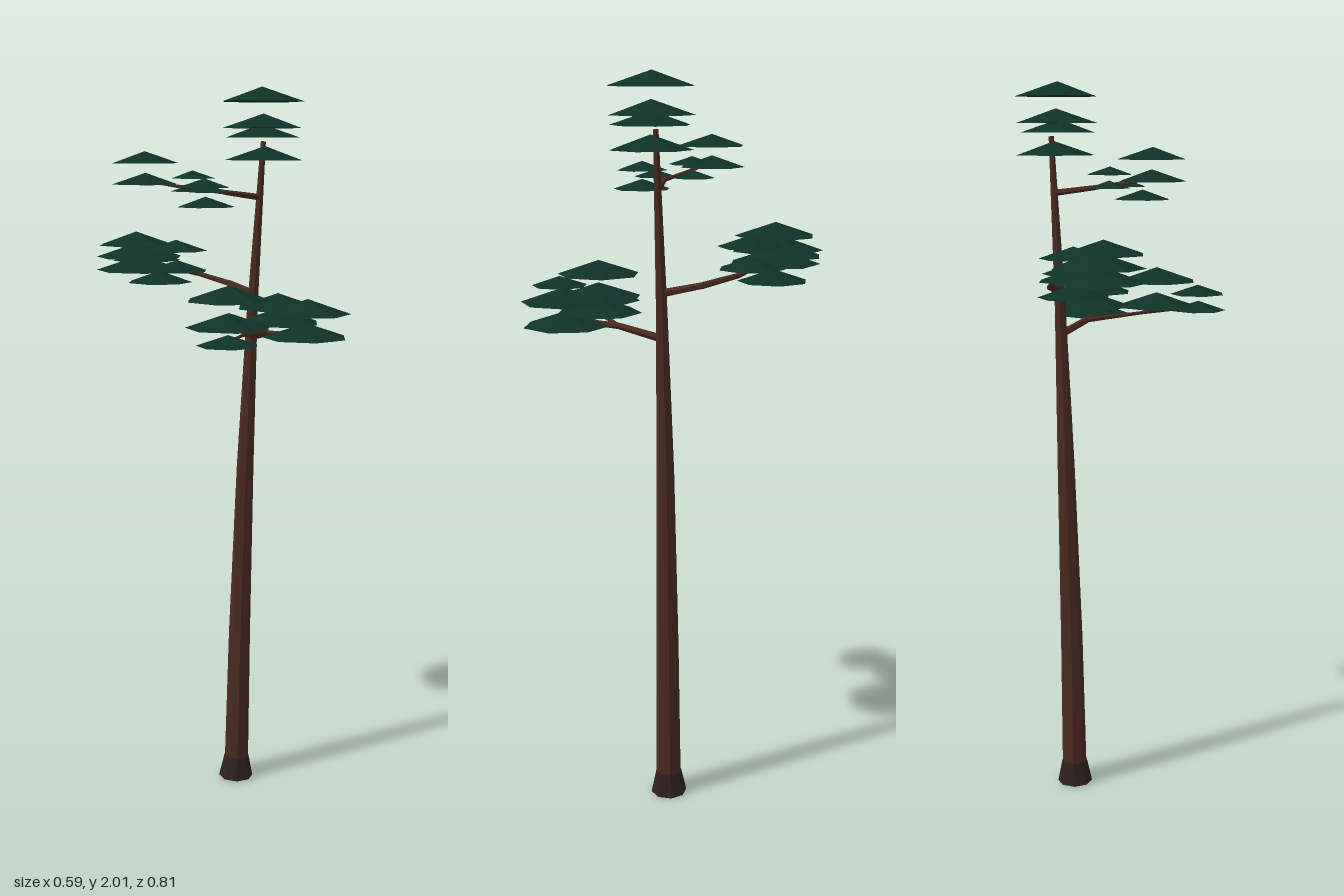
import * as THREE from 'three';

const mat = (name, color) => {
  const m = new THREE.MeshStandardMaterial({ color, flatShading: true });
  m.name = name;
  return m;
};

// Tapered limb through points [x, y, z, radius]
function limb(name, points, sides, material) {
  const group = new THREE.Group();
  group.name = name;
  const up = new THREE.Vector3(0, 1, 0);
  for (let i = 0; i < points.length - 1; i++) {
    const a = new THREE.Vector3(...points[i].slice(0, 3));
    const b = new THREE.Vector3(...points[i + 1].slice(0, 3));
    const dir = b.clone().sub(a);
    const geo = new THREE.CylinderGeometry(points[i + 1][3], points[i][3], dir.length(), sides);
    const mesh = new THREE.Mesh(geo, material);
    mesh.name = name + 'Segment';
    mesh.position.copy(a).add(b).multiplyScalar(0.5);
    mesh.quaternion.setFromUnitVectors(up, dir.normalize());
    group.add(mesh);
  }
  return group;
}

// Stack of shallow seven-sided cones, every second one turned half round
// Each layer: [x, base y, z, radius]
function foliage(name, layers, material) {
  const group = new THREE.Group();
  group.name = name;
  layers.forEach(([x, y, z, r], i) => {
    const h = r * 0.34;
    const geo = new THREE.ConeGeometry(r, h, 7);
    geo.rotateY(Math.PI / 2 + (i % 2) * Math.PI);
    const pad = new THREE.Mesh(geo, material);
    pad.name = 'needlePad';
    pad.position.set(x, y + h / 2, z);
    group.add(pad);
  });
  return group;
}

export function createModel() {
  const bark = mat('bark', 0x4a2a20);
  const rootBark = mat('rootBark', 0x2f2020);
  const needles = mat('needles', 0x0f3328);
  const tree = new THREE.Group();
  tree.name = 'pineTree';

  // Flared foot and leaning trunk
  tree.add(limb('rootFlare', [[0.134, 0, 0.02, 0.05], [0.135, 0.065, 0.021, 0.036]], 8, rootBark));
  tree.add(limb('trunk', [
    [0.135, 0.03, 0.021, 0.035], [0.141, 0.45, 0.025, 0.031], [0.153, 0.95, 0.032, 0.024],
    [0.166, 1.4, 0.043, 0.015], [0.187, 1.86, 0.06, 0.007],
  ], 8, bark));

  // Branches with their twigs
  const branches = {
    lowerBranch: [[0.166, 1.325, 0.041, 0.011], [0.1, 1.35, 0.15, 0.009], [0.07, 1.36, 0.25, 0.006]],
    lowerTwig: [[0.1, 1.35, 0.15, 0.007], [-0.06, 1.366, 0.2, 0.005], [-0.22, 1.372, 0.285, 0.003]],
    rearBranch: [[0.169, 1.445, 0.044, 0.011], [0.186, 1.466, -0.06, 0.009], [0.168, 1.488, -0.16, 0.007], [0.07, 1.52, -0.27, 0.004]],
    upperBranch: [[0.18, 1.71, 0.054, 0.009], [0.07, 1.725, 0.025, 0.007], [-0.02, 1.74, 0.04, 0.004]],
    upperTwig: [[0.07, 1.725, 0.025, 0.006], [-0.02, 1.74, -0.05, 0.005], [-0.085, 1.755, -0.12, 0.003]],
  };
  for (const [name, pts] of Object.entries(branches)) tree.add(limb(name, pts, 6, bark));

  // Needle clusters
  const clusters = {
    crown: [[0.17, 1.965, 0.068, 0.115], [0.175, 1.895, 0.07, 0.113], [0.166, 1.87, 0.07, 0.105], [0.18, 1.81, 0.072, 0.11]],
    upperRearCluster: [[-0.088, 1.803, -0.125, 0.092], [-0.085, 1.747, -0.125, 0.09]],
    upperTwigCluster: [[0.025, 1.762, -0.055, 0.062], [0.028, 1.727, -0.058, 0.058]],
    upperFrontCluster: [[-0.015, 1.728, 0.038, 0.056], [-0.065, 1.742, 0.068, 0.07], [-0.06, 1.692, 0.068, 0.078]],
    rearCluster: [[0.035, 1.572, -0.28, 0.11], [0.05, 1.537, -0.28, 0.125], [0.09, 1.525, -0.295, 0.1], [0.045, 1.5, -0.275, 0.125]],
    rearSideCluster: [[0.115, 1.555, -0.2, 0.09], [0.12, 1.497, -0.2, 0.09], [0.11, 1.462, -0.26, 0.095]],
    lowerRightCluster: [[-0.1, 1.458, 0.185, 0.115], [-0.1, 1.387, 0.185, 0.115]],
    lowerTipCluster: [[-0.22, 1.41, 0.287, 0.08], [-0.222, 1.363, 0.287, 0.08]],
    lowerInnerCluster: [[0.085, 1.425, 0.2, 0.115], [0.085, 1.385, 0.2, 0.115]],
    lowerFrontCluster: [[0.095, 1.415, 0.292, 0.115], [0.092, 1.352, 0.288, 0.115]],
  };
  for (const [name, layers] of Object.entries(clusters)) tree.add(foliage(name, layers, needles));

  return tree;
}
